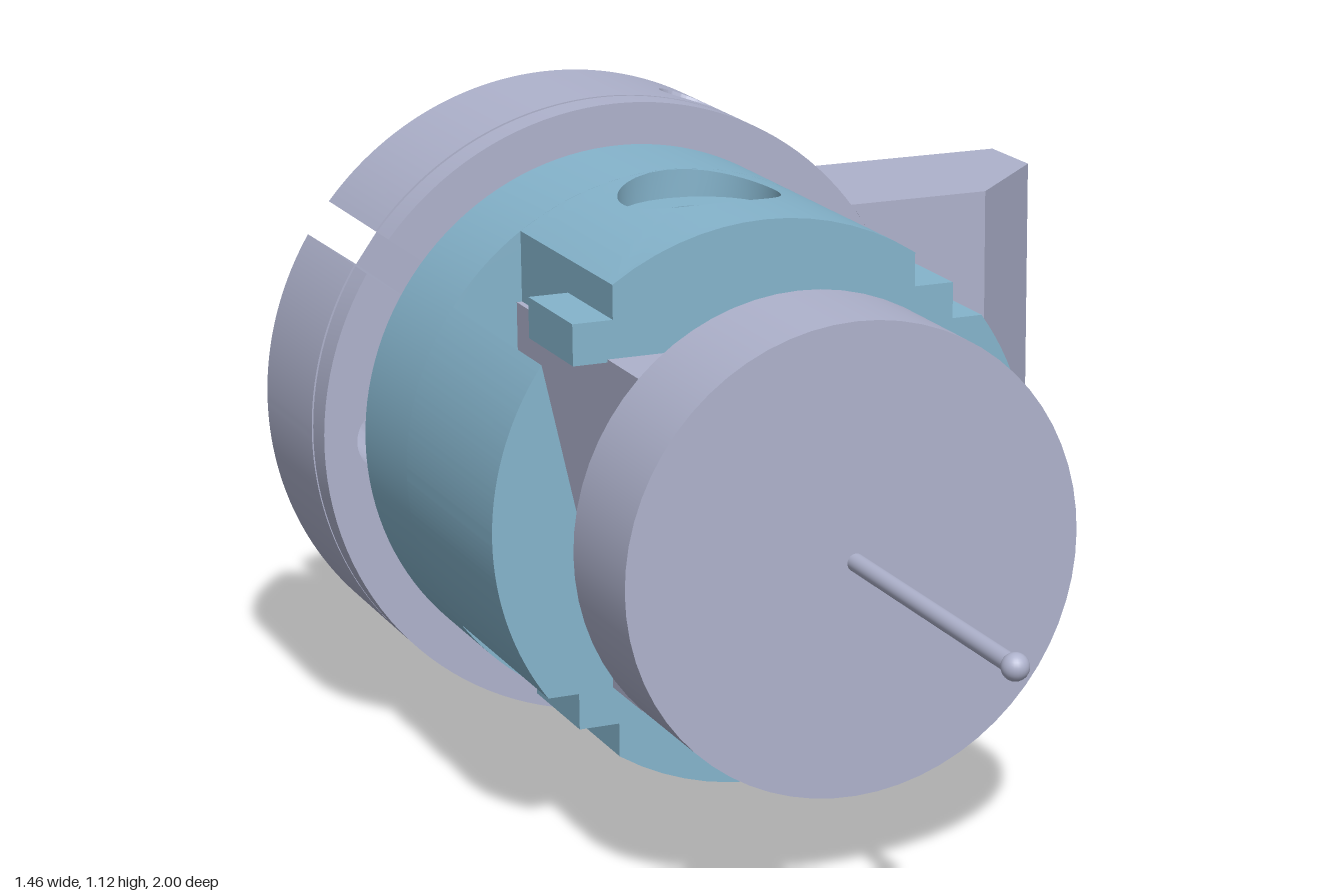
import * as THREE from 'three';
import { toCreasedNormals } from 'three/addons/utils/BufferGeometryUtils.js';

const lilac = new THREE.MeshStandardMaterial({ color: 0xaeb2cc });
lilac.name = 'lilacMetal';
const blue = new THREE.MeshStandardMaterial({ color: 0x85b4cc });
blue.name = 'blueMetal';

const BODY_R = 0.485, FLANGE_R = 0.56;
const rad = THREE.MathUtils.degToRad;

export function createModel() {
  const model = new THREE.Group();
  model.name = 'toolHead';
  model.position.set(-0.17, 0.565, 0); // the turning axis is the local z axis

  const add = (name, geo, mat, x = 0, y = 0, z = 0) => {
    const mesh = new THREE.Mesh(geo, mat);
    mesh.name = name;
    mesh.position.set(x, y, z);
    model.add(mesh);
    return mesh;
  };
  const slab = (shape, z0, z1) => toCreasedNormals(
    new THREE.ExtrudeGeometry(shape, { depth: z1 - z0, bevelEnabled: false, curveSegments: 64 })
      .translate(0, 0, z0), 0.5);
  const hole = (x, y, r) => new THREE.Path().absarc(x, y, r, 0, Math.PI * 2, true);
  const axial = (r, z0, z1, r2 = r) => new THREE.CylinderGeometry(r2, r, z1 - z0, 64)
    .rotateX(Math.PI / 2).translate(0, 0, (z0 + z1) / 2);

  // Curved wall piece with a radial hole, lofted from its foot over the skin and down the hole.
  // Local y is radial; "steps" lists [radius, height] pairs down the hole.
  function boredPiece(R, w, z0, z1, zc, holeR, foot, steps) {
    const corners = [[w, z0], [w, z1], [-w, z1], [-w, z0]], rect = [], n = 14;
    corners.forEach(([x, z], k) => {
      const [x2, z2] = corners[(k + 1) % 4];
      for (let i = 0; i < n; i++) rect.push([x + (x2 - x) * i / n, z + (z2 - z) * i / n]);
    });
    const round = (r) => rect.map(([x, z]) => {
      const t = Math.atan2(z - zc, x);
      return [r * Math.cos(t), zc + r * Math.sin(t)];
    });
    const skin = (x) => Math.sqrt(R * R - x * x);
    const loops = [rect.map(([x, z]) => [x, foot, z])];
    const rim = round(holeR);
    for (let s = 0; s <= 5; s++) {
      loops.push(rect.map(([x, z], i) => {
        const px = x + (rim[i][0] - x) * s / 5;
        return [px, skin(px), z + (rim[i][1] - z) * s / 5];
      }));
    }
    for (const [r, y] of steps) loops.push(round(r).map(([x, z]) => [x, y, z]));
    const m = rect.length, index = [];
    for (let l = 0; l < loops.length - 1; l++) {
      for (let i = 0; i < m; i++) {
        const a = l * m + i, b = l * m + (i + 1) % m;
        index.push(a, a + m, b, b, a + m, b + m);
      }
    }
    const geo = new THREE.BufferGeometry();
    geo.setAttribute('position', new THREE.Float32BufferAttribute(loops.flat(2), 3));
    geo.setIndex(index);
    return toCreasedNormals(geo.toNonIndexed(), 0.5);
  }

  // Rear flange: disc with cut-outs in the rim and bolt holes
  function flangeShape(R, bites) {
    const s = new THREE.Shape();
    bites.forEach((b, i) => {
      const next = bites[i + 1] || { ...bites[0], a: bites[0].a + Math.PI * 2 };
      s.absarc(0, 0, R, b.a + Math.asin(b.w / R), next.a - Math.asin(next.w / R), false);
      const c = Math.cos(next.a), d = Math.sin(next.a);
      for (const w of [-next.w, next.w]) s.lineTo(next.depth * c - w * d, next.depth * d + w * c);
    });
    s.holes.push(hole(0, 0, 0.26), hole(0.36, 0, 0.05), hole(-0.44, 0, 0.06));
    for (const k of [-1, 1]) {
      for (const a of [45, 135]) {
        s.holes.push(hole(0.345 * Math.cos(rad(a)), k * 0.345 * Math.sin(rad(a)), 0.053));
      }
      for (const a of [72, 107, 158]) {
        s.holes.push(hole(0.43 * Math.cos(rad(a)), k * 0.43 * Math.sin(rad(a)), 0.035));
      }
      s.holes.push(hole(0.447, k * 0.18, 0.038));
    }
    return s;
  }
  const slot = { a: rad(144), w: 0.035, depth: 0.45 };
  const ports = [-69, 69].map((d) => ({ a: rad(d), w: 0.08, depth: 0.49 }));
  add('flangeRear', slab(flangeShape(FLANGE_R, [...ports, slot]), -0.9, -0.64), lilac);
  add('flangeGroove', slab(flangeShape(0.55, [slot]), -0.64, -0.632), lilac);
  add('flangeFront', slab(flangeShape(FLANGE_R, [slot]), -0.632, -0.57), lilac);
  for (const p of ports) {
    add('flangePort', boredPiece(FLANGE_R, 0.08, -0.9, -0.64, -0.735, 0.056, 0.49,
      [[0.045, 0.535], [0.045, 0.49]]), lilac).rotation.z = p.a - Math.PI / 2;
  }

  // Blue body: rear ring, then four jaws of wall separated by corner pockets
  const ring = new THREE.Shape().absarc(0, 0, BODY_R, 0, Math.PI * 2, false);
  ring.holes.push(hole(0, 0, 0.26));
  add('bodyRing', slab(ring, -0.57, -0.35), blue);
  for (const turn of [0, Math.PI]) {
    add('boredWall', boredPiece(BODY_R, 0.27, -0.35, 0.07, -0.21, 0.138, 0.27,
      [[0.138, 0.435], [0.07, 0.435], [0.07, 0.27]]), blue).rotation.z = turn;
  }
  const wall = (y0, y1) => {
    const s = new THREE.Shape();
    s.moveTo(0.27, y0);
    s.absarc(0, 0, BODY_R, Math.asin(y0 / BODY_R), Math.asin(y1 / BODY_R), false);
    s.lineTo(0.27, y1);
    return s;
  };
  add('leftWall', slab(wall(-0.283, 0.283), -0.35, 0.01), blue);
  add('leftWallUpperLip', slab(wall(0.13, 0.283), 0.01, 0.07), blue);
  add('leftWallLowerLip', slab(wall(-0.283, -0.13), 0.01, 0.07), blue);
  add('rightWall', slab(wall(-0.283, 0.283), -0.35, 0.07), blue).rotation.z = Math.PI;

  // Steps inside the corner pockets and small pins on the left wall
  for (const sx of [-1, 1]) {
    for (const sy of [-1, 1]) {
      add('pocketStep', new THREE.BoxGeometry(0.07, 0.07, 0.2), blue, sx * 0.305, sy * 0.31, -0.03);
    }
  }
  for (const sy of [-1, 1]) {
    for (const z of [-0.06, -0.355]) {
      const a = sy * Math.asin(0.235 / BODY_R);
      add('wallPin', new THREE.CylinderGeometry(0.028, 0.028, 0.02, 24), blue,
        0.479 * Math.cos(a), 0.479 * Math.sin(a), z).rotation.z = a - Math.PI / 2;
    }
  }

  // Square core, front disc and probe
  add('squareCore', new THREE.BoxGeometry(0.56, 0.56, 0.549), lilac, 0, 0, -0.0745);
  add('frontDisc', axial(0.395, 0.2, 0.42), lilac);
  add('probeStem', axial(0.015, 0.42, 0.98), lilac);
  add('probeTip', new THREE.SphereGeometry(0.022, 24, 16), lilac, 0, 0, 0.978);

  // Connector block: hugs the flange, with a chamfered outer end
  const a0 = Math.asin(0.335 / FLANGE_R);
  const blockShape = new THREE.Shape();
  blockShape.moveTo(0.72, -0.335);
  blockShape.lineTo(0.72, 0.335);
  blockShape.absarc(0, 0, FLANGE_R, a0, -a0, true);
  add('connectorBlock', slab(blockShape, -0.9, -0.57), lilac);
  const endShape = new THREE.Shape([[0.72, 0.57], [0.9, 0.75], [0.9, 0.9], [0.72, 0.9]]
    .map(([x, y]) => new THREE.Vector2(x, y)));
  add('connectorEnd', new THREE.ExtrudeGeometry(endShape, { depth: 0.67, bevelEnabled: false })
    .rotateX(-Math.PI / 2).translate(0, -0.335, 0), lilac);
  add('connectorPanel', new THREE.BoxGeometry(0.28, 0.63, 0.008), lilac, 0.735, 0, -0.902);

  // Panel screws and two staggered columns of contact pins
  for (const x of [0.635, 0.835]) {
    for (const y of [-0.28, 0.28]) {
      add('panelScrew', axial(0.02, -0.912, -0.9), lilac, x, y);
    }
  }
  const pinProfile = [[0.026, 0], [0.026, 0.012], [0.02, 0.015], [0.017, 0.065], [0.012, 0.07],
    [0.011, 0.094], [0.006, 0.1], [0, 0.1]].map(([r, y]) => new THREE.Vector2(r, y));
  const pinGeo = toCreasedNormals(
    new THREE.LatheGeometry(pinProfile, 20).rotateX(-Math.PI / 2), 0.5);
  for (let i = 0; i < 9; i++) {
    add('contactPin', pinGeo, lilac, i % 2 ? 0.605 : 0.72, 0.165 - i * 0.041, -0.9);
  }
  return model;
}
